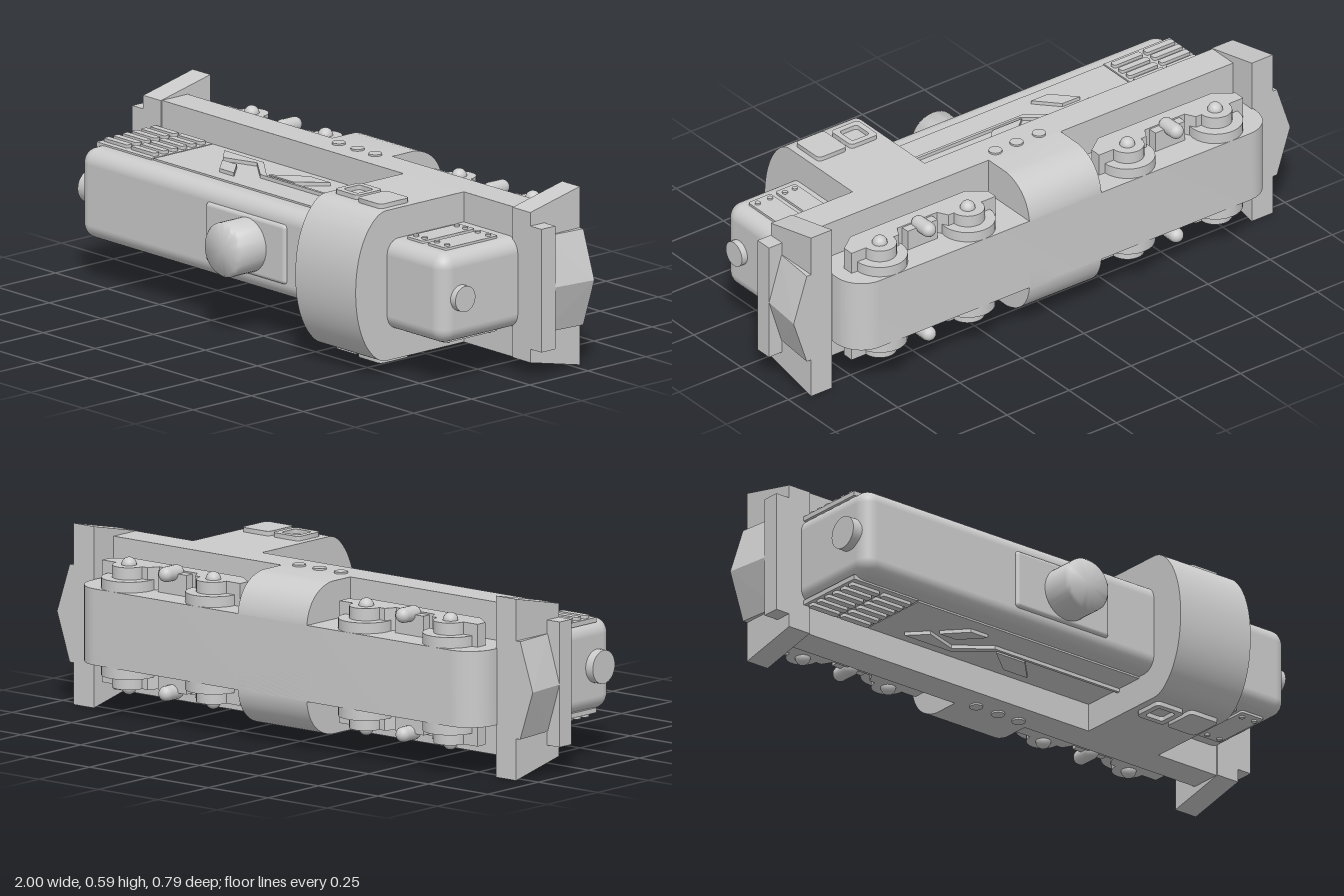
import * as THREE from 'three';
import { toCreasedNormals } from 'three/addons/utils/BufferGeometryUtils.js';
import { RoundedBoxGeometry } from 'three/addons/geometries/RoundedBoxGeometry.js';
import { ConvexGeometry } from 'three/addons/geometries/ConvexGeometry.js';

// The locomotive lies on its side: length along x, width along y, its roof towards +z.
export function createModel() {
  const root = new THREE.Group();
  root.name = 'locomotive';
  const train = new THREE.Group();
  train.name = 'train';
  train.position.y = 0.3;
  root.add(train);
  const mat = new THREE.MeshStandardMaterial({ color: 0xcccccc });

  const add = (name, geo, parent = train) => {
    const mesh = new THREE.Mesh(geo, mat);
    mesh.name = name;
    parent.add(mesh);
    return mesh;
  };
  const box = (name, x0, x1, y0, y1, z0, z1, parent) =>
    add(name, new THREE.BoxGeometry(x1 - x0, y1 - y0, z1 - z0)
      .translate((x0 + x1) / 2, (y0 + y1) / 2, (z0 + z1) / 2), parent);
  const poly = (pts) => new THREE.Shape(pts.map((p) => new THREE.Vector2(...p)));
  const extrude = (shape, depth) =>
    new THREE.ExtrudeGeometry(shape, { depth, bevelEnabled: false, curveSegments: 12 });
  // Outline in (x, z), extruded from y0 to y1
  const slabY = (name, shape, y0, y1) =>
    add(name, toCreasedNormals(extrude(shape, y1 - y0).rotateX(Math.PI / 2).translate(0, y1, 0), 0.6));
  // Outline in (y, z), extruded from x0 to x1
  const toX = new THREE.Matrix4().makeBasis(
    new THREE.Vector3(0, 1, 0), new THREE.Vector3(0, 0, 1), new THREE.Vector3(1, 0, 0));
  const slabX = (name, shape, x0, x1, parent) =>
    add(name, toCreasedNormals(extrude(shape, x1 - x0).applyMatrix4(toX).translate(x0, 0, 0), 0.6), parent);
  const roundRect = (x0, x1, z0, z1, r) => {
    const s = new THREE.Shape();
    s.absarc(x1 - r, z1 - r, r, 0, Math.PI / 2);
    s.absarc(x0 + r, z1 - r, r, Math.PI / 2, Math.PI);
    s.absarc(x0 + r, z0 + r, r, Math.PI, Math.PI * 1.5);
    s.absarc(x1 - r, z0 + r, r, Math.PI * 1.5, Math.PI * 2);
    return s;
  };
  // The same relief on both flanks, between half-widths a and b
  const flanks = (name, shape, a, b) => {
    slabY(name, shape, a, b);
    slabY(name, shape, -b, -a);
  };
  const discsY = (name, r, x, z, a, b) => {
    for (const s of [1, -1])
      add(name, new THREE.CylinderGeometry(r, r, b - a, 28).translate(x, s * (a + b) / 2, z));
  };

  // Main body
  add('hood', new RoundedBoxGeometry(1.75, 0.3, 0.4, 5, 0.05).translate(-0.005, 0, 0.06));
  box('deck', -0.86, 0.86, -0.25, 0.25, -0.18, -0.07);
  slabY('chassis', roundRect(-0.85, 0.84, -0.395, -0.1, 0.1), -0.125, 0.125);

  // Centre tank with rounded lower corners
  const tank = new THREE.Shape();
  tank.moveTo(0.25, -0.1);
  tank.lineTo(-0.25, -0.1);
  tank.lineTo(-0.25, -0.275);
  tank.bezierCurveTo(-0.24, -0.34, -0.2, -0.385, -0.13, -0.395);
  tank.lineTo(0.13, -0.395);
  tank.bezierCurveTo(0.2, -0.385, 0.24, -0.34, 0.25, -0.275);
  slabX('tank', tank, -0.15, 0.14);
  for (const x of [-0.085, 0.005, 0.09]) discsY('tankBolt', 0.022, x, -0.15, 0.245, 0.256);

  // Cab with arched roof
  const cab = new THREE.Shape();
  cab.moveTo(-0.25, -0.08);
  cab.lineTo(0.25, -0.08);
  cab.lineTo(0.25, 0.26);
  cab.bezierCurveTo(0.25, 0.3, 0.22, 0.325, 0.19, 0.347);
  cab.bezierCurveTo(0.13, 0.385, 0.06, 0.395, 0, 0.395);
  cab.bezierCurveTo(-0.06, 0.395, -0.13, 0.385, -0.19, 0.347);
  cab.bezierCurveTo(-0.22, 0.325, -0.25, 0.3, -0.25, 0.26);
  slabX('cab', cab, 0.315, 0.605);

  // Cab windows
  const frame = roundRect(0.34, 0.45, 0.14, 0.25, 0.015);
  frame.holes.push(roundRect(0.36, 0.43, 0.16, 0.23, 0.01));
  flanks('windowFrame', frame, 0.24, 0.265);
  flanks('window', roundRect(0.465, 0.58, 0.14, 0.265, 0.015), 0.24, 0.265);

  // Chimney on its base plate
  add('chimneyBase', new RoundedBoxGeometry(0.385, 0.2, 0.03, 3, 0.014).translate(-0.068, 0, 0.255));
  const chimney = [[0, 0.24], [0.09, 0.24], [0.09, 0.37], [0.082, 0.38], [0, 0.38]];
  add('chimney', toCreasedNormals(new THREE.LatheGeometry(
    chimney.map((p) => new THREE.Vector2(...p)), 32).rotateX(Math.PI / 2).translate(-0.055, 0, 0), 0.9));

  // Lamps at both ends
  const lamp = (x, r) => add('lamp', new THREE.CylinderGeometry(r, r, 0.06, 28)
    .rotateZ(Math.PI / 2).translate(x, 0, 0.18));
  lamp(-0.88, 0.055);
  lamp(0.862, 0.043);

  // Hood flank panels, vents and stripes
  flanks('sidePanel', poly([[-0.6, -0.08], [0.32, -0.08], [0.32, 0.185], [-0.6, 0.185]]), 0.14, 0.156);
  flanks('ventPanel', poly([[-0.87, -0.08], [-0.605, -0.08], [-0.605, 0.19], [-0.87, 0.19]]), 0.14, 0.156);
  for (const x of [-0.86, -0.73])
    for (let i = 0; i < 6; i++) {
      const z = -0.055 + i * 0.04;
      flanks('ventSlat', roundRect(x, x + 0.115, z, z + 0.024, 0.006), 0.15, 0.167);
    }
  const stripes = [
    [[-0.49, -0.02], [-0.3, -0.02], [-0.18, 0.075], [0.32, 0.075], [0.32, 0.085], [-0.2, 0.085], [-0.31, 0], [-0.43, 0.04]],
    [[-0.18, 0.065], [-0.08, -0.02], [0.02, -0.02], [-0.06, 0.065]],
    [[-0.41, 0.06], [-0.34, 0.06], [-0.27, 0.135], [-0.34, 0.135]],
  ];
  for (const s of stripes) flanks('stripe', poly(s), 0.15, 0.168);
  for (const [x0, x1] of [[0.63, 0.71], [0.73, 0.82]]) {
    flanks('hatch', roundRect(x0, x1, -0.025, 0.2, 0.008), 0.14, 0.158);
    for (const z of [0, 0.175])
      for (const x of [x0 + 0.02, x1 - 0.02]) discsY('hatchBolt', 0.009, x, z, 0.15, 0.164);
  }

  // Bogies: wheels, side frames, axle caps and springs
  for (const c of [-0.5, 0.497]) {
    for (const dx of [-0.177, 0.177]) {
      discsY('wheel', 0.09, c + dx, -0.305, 0.12, 0.16);
      discsY('axleBox', 0.055, c + dx, -0.305, 0.15, 0.2);
      for (const s of [1, -1])
        add('axleCap', new THREE.CapsuleGeometry(0.025, 0.06, 6, 16).translate(c + dx, s * 0.17, -0.305));
    }
    const side = [[-0.29, -0.305], [-0.1, -0.305], [-0.08, -0.27], [0.08, -0.27], [0.1, -0.305],
      [0.29, -0.305], [0.29, -0.265], [0.23, -0.22], [-0.23, -0.22], [-0.29, -0.265]];
    flanks('bogieFrame', poly(side.map(([x, z]) => [c + x, z])), 0.12, 0.2);
    for (const s of [1, -1]) {
      add('spring', new THREE.CapsuleGeometry(0.025, 0.05, 6, 16)
        .rotateX(Math.PI / 2).translate(c, s * 0.195, -0.305));
      box('springBracket', c - 0.06, c + 0.06, s * 0.16 - 0.035, s * 0.16 + 0.035, -0.3, -0.255);
    }
  }

  // End beams with bumper and wedge plough, turned about z for the far end
  for (const angle of [0, Math.PI]) {
    const end = new THREE.Group();
    end.name = 'endAssembly';
    end.rotation.z = angle;
    train.add(end);
    slabX('endPlate', poly([[-0.25, -0.065], [-0.297, -0.278], [0.297, -0.278], [0.25, -0.065]]), 0.845, 0.93, end);
    box('bumper', 0.92, 0.983, -0.205, 0.205, -0.125, -0.065, end);
    const pts = [];
    for (const y of [-0.16, 0.16])
      pts.push([0.92, y, -0.12], [0.932, y, -0.12], [0.92, y, -0.278], [0.947, y, -0.278]);
    pts.push([0.982, 0, -0.12], [1, 0, -0.278]);
    add('plough', new ConvexGeometry(pts.map((p) => new THREE.Vector3(...p))), end);
  }
  return root;
}
